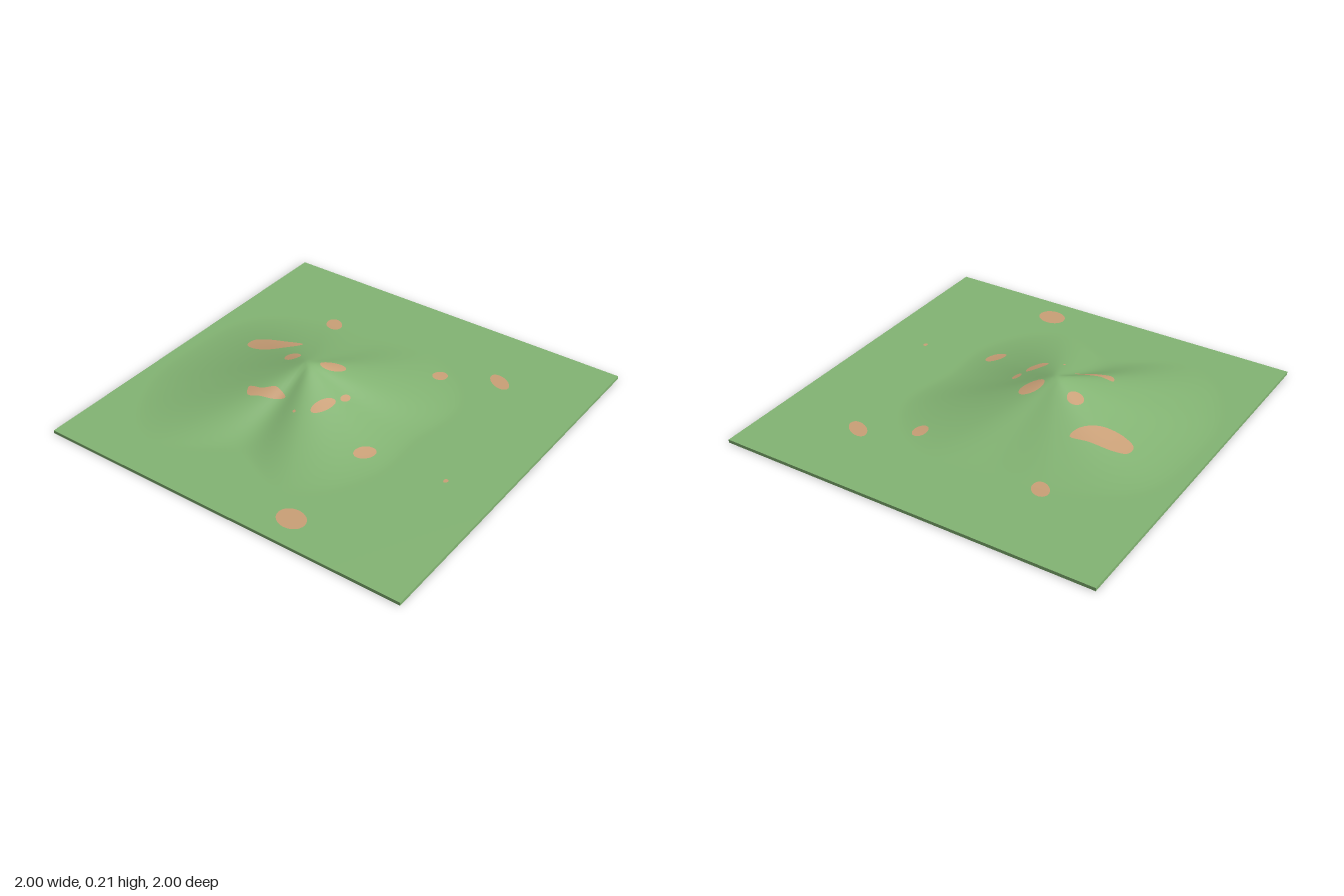
import * as THREE from 'three';

const BASE = 0.018;              // slab height away from the hill
const PEAK = { x: -0.05, z: -0.18 };
// Reach of the hill foot every 30 degrees, from +x round through +z
const REACH = [0.6, 0.72, 0.74, 0.62, 0.7, 0.74, 0.54, 0.82, 0.8, 0.74, 0.76, 0.66];

// Smooth periodic interpolation of the foot radius
function reach(angle) {
  const n = REACH.length;
  const f = ((angle / (2 * Math.PI)) * n + n) % n;
  const i = Math.floor(f), t = f - i;
  const [a, b, c, d] = [-1, 0, 1, 2].map((k) => REACH[(i + k + n) % n]);
  return b + 0.5 * t * (c - a + t * (2 * a - 5 * b + 4 * c - d + t * (3 * (b - c) + d - a)));
}

// Ground height: a concave hill with soft ridges and a slightly rounded summit
function height(x, z) {
  const dx = x - PEAK.x, dz = z - PEAK.z;
  const r = Math.hypot(dx, dz, 0.03) - 0.018;
  const k = Math.max(0, 1 - r / reach(Math.atan2(dz, dx)));
  return BASE + 0.196 * Math.pow(k, 1.5);
}

function groundNormal(x, z) {
  const e = 0.01;
  return new THREE.Vector3(
    height(x - e, z) - height(x + e, z), 2 * e, height(x, z - e) - height(x, z + e)
  ).normalize();
}

// Ellipse patches: x, z, radius x, radius z, turn
const ELLIPSES = [
  [0.55, -0.46, 0.055, 0.042, -0.8],
  [0.005, -0.32, 0.043, 0.041, 0],
  [0.04, -0.095, 0.066, 0.04, 0.65],
  [-0.2, 0.02, 0.072, 0.03, 0.3],
  [-0.08, 0.065, 0.03, 0.019, 0.15],
  [-0.847, 0.322, 0.063, 0.076, 0.2],
  [-0.29, 0.328, 0.058, 0.037, 0.55],
  [0.463, 0.268, 0.044, 0.036, 0.2],
  [0.6, 0.537, 0.07, 0.04, -1.0],
  [-0.228, 0.735, 0.014, 0.011, 0],
  [-0.307, -0.074, 0.008, 0.008, 0],
];
// Irregular patches as outline points
const OUTLINES = [
  [[0.08, -0.68], [0.14, -0.68], [0.17, -0.62], [0.19, -0.5], [0.21, -0.41], [0.15, -0.42], [0.07, -0.5], [0.05, -0.6]],
  [[-0.33, -0.34], [-0.28, -0.37], [-0.268, -0.3], [-0.23, -0.24], [-0.25, -0.17], [-0.288, -0.22], [-0.31, -0.28]],
];

function ellipseOutline([x, z, rx, rz, turn]) {
  return (u) => {
    const a = u * 2 * Math.PI;
    const p = rx * Math.cos(a), q = rz * Math.sin(a);
    return [x + p * Math.cos(turn) - q * Math.sin(turn), z + p * Math.sin(turn) + q * Math.cos(turn)];
  };
}

function splineOutline(points) {
  const curve = new THREE.CatmullRomCurve3(points.map(([x, z]) => new THREE.Vector3(x, 0, z)), true);
  return (u) => {
    const p = curve.getPoint(u % 1);
    return [p.x, p.z];
  };
}

// Disc filling an outline, draped on the ground or flat on the underside
function patchGeometry(outline, onTop) {
  const geo = new THREE.PlaneGeometry(1, 1, 36, 8);
  const { position: pos, normal, uv } = geo.attributes;
  let cx = 0, cz = 0;
  for (let i = 0; i < 36; i++) {
    const [x, z] = outline(i / 36);
    cx += x / 36;
    cz += z / 36;
  }
  for (let i = 0; i < pos.count; i++) {
    const u = onTop ? uv.getX(i) : 1 - uv.getX(i);
    const v = uv.getY(i);
    const [ox, oz] = outline(u);
    const x = cx + (ox - cx) * v, z = cz + (oz - cz) * v;
    pos.setXYZ(i, x, onTop ? height(x, z) + 0.002 : 0, z);
    const n = onTop ? groundNormal(x, z) : new THREE.Vector3(0, -1, 0);
    normal.setXYZ(i, n.x, n.y, n.z);
  }
  return geo;
}

export function createModel() {
  const group = new THREE.Group();
  group.name = 'hillTerrain';
  const grass = new THREE.MeshStandardMaterial({ color: 0x83b473 });
  grass.name = 'grassGreen';
  const earth = new THREE.MeshStandardMaterial({ color: 0xcaa077 });
  earth.name = 'bareEarth';

  // Ground slab with the hill raised from its top face
  const slab = new THREE.BoxGeometry(2, 1, 2, 120, 1, 120);
  const pos = slab.attributes.position;
  for (let i = 0; i < pos.count; i++) {
    pos.setY(i, pos.getY(i) > 0 ? height(pos.getX(i), pos.getZ(i)) : 0.0015);
  }
  slab.computeVertexNormals();
  const ground = new THREE.Mesh(slab, grass);
  ground.name = 'ground';
  group.add(ground);

  // Bare earth patches, repeated on the underside
  const patches = new THREE.Group();
  patches.name = 'earthPatches';
  for (const outline of [...ELLIPSES.map(ellipseOutline), ...OUTLINES.map(splineOutline)]) {
    for (const onTop of [true, false]) {
      const mesh = new THREE.Mesh(patchGeometry(outline, onTop), earth);
      mesh.name = onTop ? 'earthPatch' : 'undersidePatch';
      patches.add(mesh);
    }
  }
  group.add(patches);
  return group;
}
